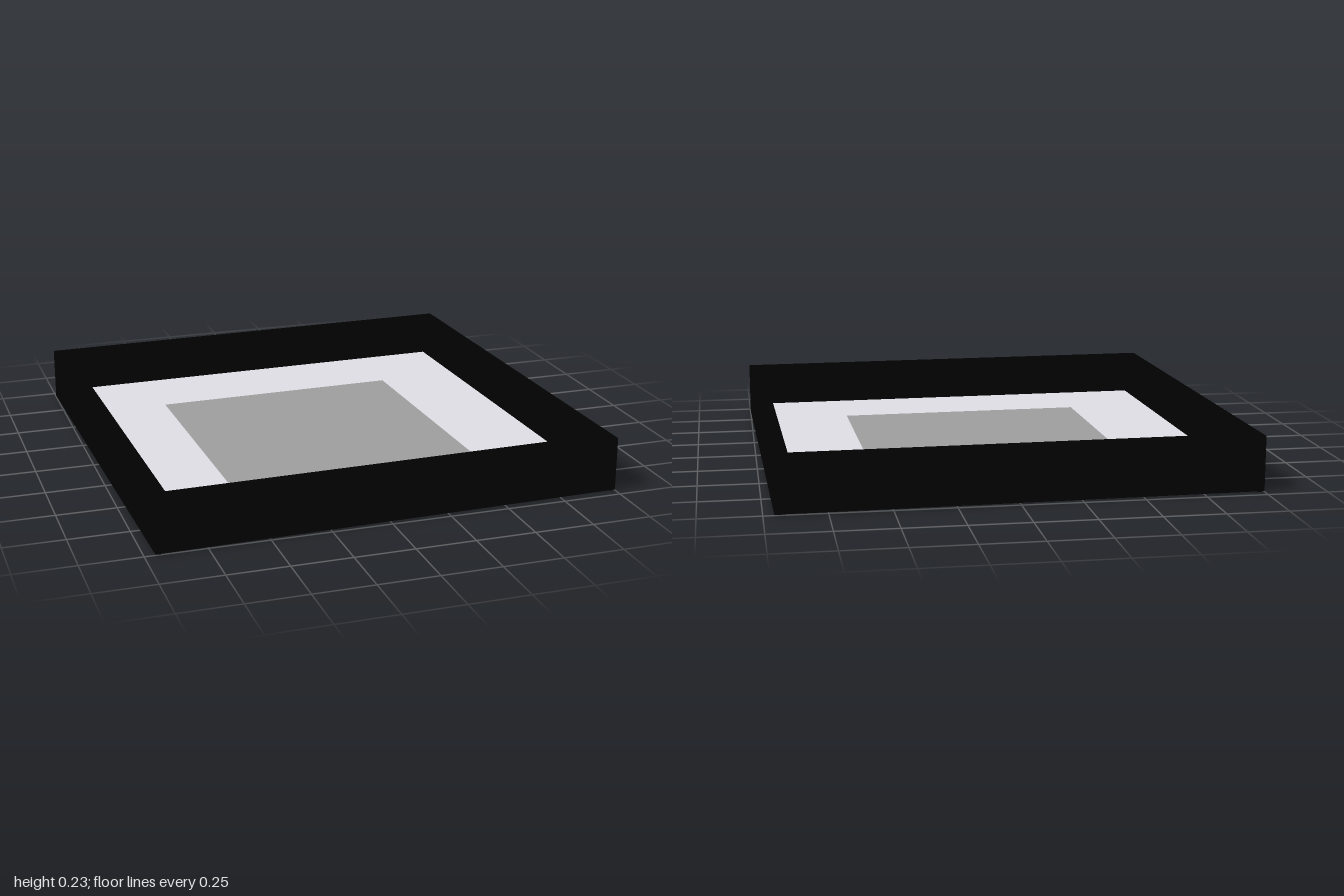
import * as THREE from 'three';

const material = (name, color) => {
  const m = new THREE.MeshStandardMaterial({ color });
  m.name = name;
  return m;
};

const square = (Type, h) => {
  const s = new Type();
  s.moveTo(-h, -h);
  s.lineTo(h, -h);
  s.lineTo(h, h);
  s.lineTo(-h, h);
  s.closePath();
  return s;
};

export function createModel() {
  const black = material('black frame', 0x010101);
  const matWhite = material('pale mat', 0xdfdde4);
  const grey = material('grey picture', 0x9d9d9d);
  const brown = material('brown backing', 0x9e7956);
  const metal = material('hanger metal', 0xb4b4b4);

  const model = new THREE.Group();
  model.name = 'pictureFrame';
  const body = new THREE.Group();
  body.name = 'frameBody';
  body.rotation.y = 0.022; // lies slightly turned
  model.add(body);

  const add = (name, geometry, mat, x = 0, y = 0, z = 0) => {
    const mesh = new THREE.Mesh(geometry, mat);
    mesh.name = name;
    mesh.position.set(x, y, z);
    body.add(mesh);
    return mesh;
  };

  // Square ring standing from y0 to y1
  const ring = (outer, inner, y0, y1) => {
    const shape = square(THREE.Shape, outer);
    shape.holes.push(square(THREE.Path, inner));
    const g = new THREE.ExtrudeGeometry(shape, { depth: y1 - y0, bevelEnabled: false });
    return g.rotateX(-Math.PI / 2).translate(0, y0, 0);
  };
  const slab = (h, y0, y1) =>
    new THREE.BoxGeometry(2 * h, y1 - y0, 2 * h).translate(0, (y0 + y1) / 2, 0);

  // Deep frame, with a wider recess underneath for the backing
  add('frame', ring(0.978, 0.918, 0.04, 0.23), black);
  add('frameRebate', ring(0.978, 0.945, 0.003, 0.04), black);

  // Mat, picture with pale paper edges, and backing board
  add('mat', slab(0.919, 0.03, 0.047), matWhite);
  add('picture', slab(0.545, 0.047, 0.05),
    [matWhite, matWhite, grey, matWhite, matWhite, matWhite]);
  add('backing', slab(0.945, 0.012, 0.03), brown);

  // Corner bumpers
  for (const x of [-1, 1]) for (const z of [-1, 1]) {
    add('bumper', new THREE.CylinderGeometry(0.015, 0.015, 0.006, 16), black, x * 0.961, 0.003, z * 0.961);
  }

  // Retaining clips along the inner rim
  for (const [x, z] of [[0.935, 0.22], [0.23, -0.935], [0.22, 0.935], [-0.935, -0.22]]) {
    const onSide = Math.abs(x) > Math.abs(z);
    add('clip', new THREE.BoxGeometry(onSide ? 0.03 : 0.025, 0.006, onSide ? 0.025 : 0.03), black, x, 0.009, z);
  }

  // Sawtooth hanger on the back
  const strip = new THREE.Shape();
  strip.moveTo(-0.06, 0.025);
  strip.lineTo(-0.06, -0.025);
  for (let i = 0; i < 5; i++) {
    strip.lineTo(-0.025 + i * 0.01, -0.025);
    strip.lineTo(-0.02 + i * 0.01, -0.01);
  }
  strip.lineTo(0.025, -0.025);
  strip.lineTo(0.06, -0.025);
  strip.lineTo(0.06, 0.025);
  strip.closePath();
  const hanger = new THREE.ExtrudeGeometry(strip, { depth: 0.004, bevelEnabled: false });
  hanger.rotateX(-Math.PI / 2).rotateY(-Math.PI / 2);
  add('hanger', hanger, metal, 0.72, 0.008, 0);
  for (const s of [-1, 1]) {
    add('hangerNail', new THREE.CylinderGeometry(0.008, 0.008, 0.008, 12), black, 0.72, 0.01, s * 0.045);
  }

  return model;
}
